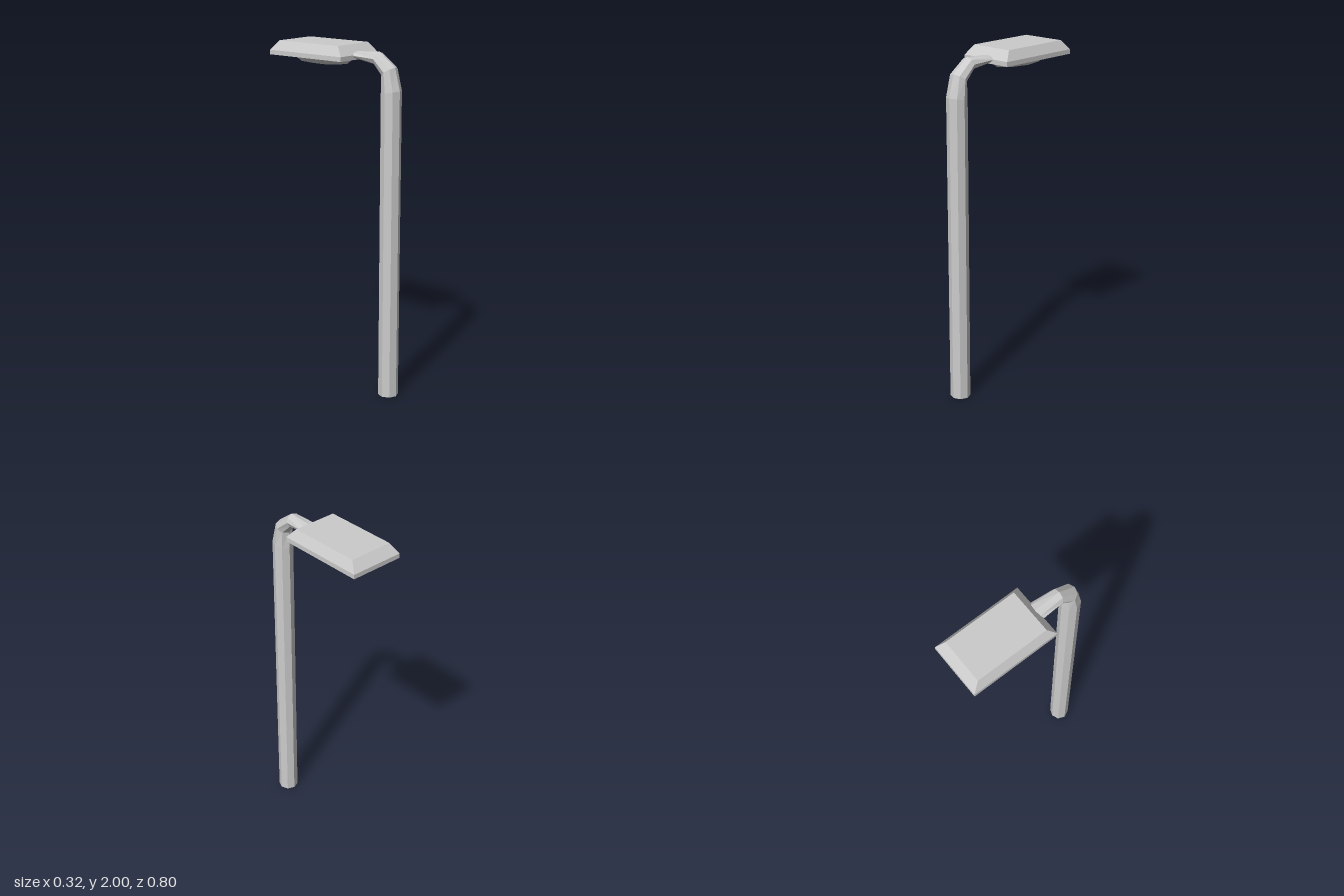
import * as THREE from 'three';

const material = new THREE.MeshStandardMaterial({ color: 0xcccccc, flatShading: true, side: THREE.DoubleSide });

// Skins a list of equal-sized rings of [x, y, z] points; caps are optional fans.
function loft(name, rings, capStart, capEnd) {
  const n = rings[0].length;
  const pos = [];
  const tri = (a, b, c) => pos.push(...a, ...b, ...c);
  for (let r = 0; r < rings.length - 1; r++) {
    const lo = rings[r], hi = rings[r + 1];
    for (let i = 0; i < n; i++) {
      const j = (i + 1) % n;
      tri(lo[i], lo[j], hi[j]);
      tri(lo[i], hi[j], hi[i]);
    }
  }
  const last = rings[rings.length - 1];
  for (let i = 1; i < n - 1; i++) {
    if (capStart) tri(rings[0][0], rings[0][i + 1], rings[0][i]);
    if (capEnd) tri(last[0], last[i], last[i + 1]);
  }
  const geometry = new THREE.BufferGeometry();
  geometry.setAttribute('position', new THREE.Float32BufferAttribute(pos, 3));
  geometry.computeVertexNormals();
  const mesh = new THREE.Mesh(geometry, material);
  mesh.name = name;
  return mesh;
}

// Octagon spanned by its outer and inner points [z, y] and a half width in x
function poleRing([zOut, yOut], [zIn, yIn], halfWidth) {
  return Array.from({ length: 8 }, (_, i) => {
    const a = (i * Math.PI) / 4;
    const t = (1 + Math.cos(a)) / 2;
    return [Math.sin(a) * halfWidth, yIn + (yOut - yIn) * t, zIn + (zOut - zIn) * t];
  });
}

// Horizontal rectangle, counter-clockwise from above
function rectRing(y, x, zBack, zFront) {
  return [[x, y, zFront], [x, y, zBack], [-x, y, zBack], [-x, y, zFront]];
}

// Horizontal stretched octagon for the lens
function lensRing(y, rx, rz) {
  return Array.from({ length: 8 }, (_, i) => {
    const a = (i * Math.PI) / 4;
    return [Math.sin(a) * rx, y, -0.135 + Math.cos(a) * rz];
  });
}

export function createModel() {
  const group = new THREE.Group();
  group.name = 'streetLamp';

  // Pole bending over into a flattened arm, open at the foot
  group.add(loft('poleAndArm', [
    poleRing([0.4, 0], [0.285, 0], 0.058),
    poleRing([0.4, 1.77], [0.285, 1.75], 0.058),
    poleRing([0.366, 1.895], [0.29, 1.845], 0.052),
    poleRing([0.262, 1.972], [0.239, 1.9], 0.045),
    poleRing([0.103, 1.963], [0.113, 1.925], 0.055),
  ], false, true));

  // Lamp head with a thin rim and bevelled top
  group.add(loft('lampHead', [
    rectRing(1.92, 0.16, -0.402, 0.12),
    rectRing(1.946, 0.16, -0.402, 0.12),
    rectRing(2, 0.13, -0.355, 0.074),
  ], true, true));

  // Shallow faceted lens under the head
  group.add(loft('lens', [
    lensRing(1.87, 0, 0),
    lensRing(1.885, 0.083, 0.165),
    lensRing(1.92, 0.12, 0.215),
  ], false, false));

  return group;
}
